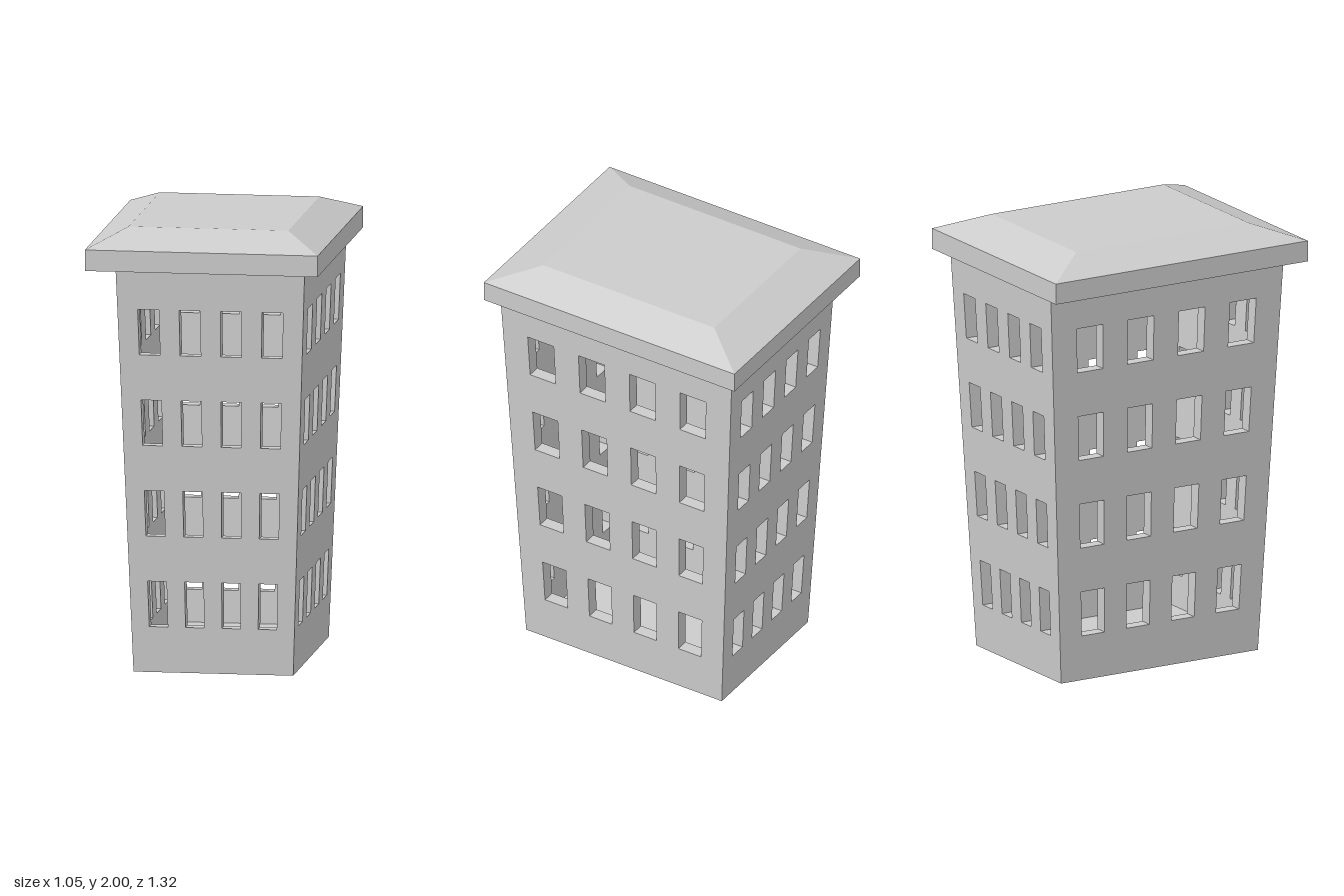
import * as THREE from 'three';

const material = new THREE.MeshStandardMaterial({ color: 0xcccccc, flatShading: true });
const CX = 0.033, CZ = 0.005;      // tower centre, slightly off the roof centre
const TOP = 1.83, EAVE = 1.91;     // rim underside, ceiling inside the roof
const T = 0.06;                    // wall thickness
const halfX = y => 0.36 + 0.066 * y / TOP;
const halfZ = y => 0.515 + 0.095 * y / TOP;

// Joins rectangular rings [halfX, halfZ, y] into a closed flat-faced solid
function loft(rings) {
  const corners = [[1, 1], [1, -1], [-1, -1], [-1, 1]];
  const pos = [];
  const point = ([hx, hz, y], k) => [corners[k % 4][0] * hx, y, corners[k % 4][1] * hz];
  for (let i = 0; i < rings.length - 1; i++) {
    for (let k = 0; k < 4; k++) {
      const a = point(rings[i], k), b = point(rings[i], k + 1);
      const c = point(rings[i + 1], k + 1), d = point(rings[i + 1], k);
      pos.push(...a, ...b, ...c, ...a, ...c, ...d);
    }
  }
  const geo = new THREE.BufferGeometry();
  geo.setAttribute('position', new THREE.Float32BufferAttribute(pos, 3));
  geo.computeVertexNormals();
  return geo;
}

// Flat wall with a 4 x 4 grid of windows; u runs -1..1 across the wall
function wallGeometry(half, depthHalf) {
  const rect = (path, u0, u1, y0, y1) => {
    path.moveTo(u0, y0);
    path.lineTo(u1, y0);
    path.lineTo(u1, y1);
    path.lineTo(u0, y1);
    path.closePath();
    return path;
  };
  const shape = rect(new THREE.Shape(), -1, 1, 0, EAVE);
  for (let row = 0; row < 4; row++) {
    const y = 0.207 + row * 0.413;
    for (const u of [-0.668, -0.223, 0.223, 0.668]) {
      shape.holes.push(rect(new THREE.Path(), u - 0.114, u + 0.114, y, y + 0.207));
    }
  }
  const geo = new THREE.ExtrudeGeometry(shape, { depth: T, bevelEnabled: false });
  // Lean the wall outward with height and mitre its ends
  const p = geo.attributes.position;
  for (let i = 0; i < p.count; i++) {
    const u = p.getX(i), y = p.getY(i), inset = T - p.getZ(i);
    const width = half(y) - (Math.abs(u) > 0.99 ? inset : 0);
    p.setXYZ(i, u * width, y, depthHalf(y) - inset);
  }
  geo.computeVertexNormals();
  return geo;
}

export function createModel() {
  const group = new THREE.Group();
  const add = (name, geo, parent) => {
    const mesh = new THREE.Mesh(geo, material);
    mesh.name = name;
    parent.add(mesh);
    return mesh;
  };

  // Hollow tower: four window walls and a floor
  const tower = new THREE.Group();
  tower.name = 'tower';
  tower.position.set(CX, 0, CZ);
  group.add(tower);
  ['frontWall', 'leftWall', 'backWall', 'rightWall'].forEach((name, i) => {
    const geo = i % 2 ? wallGeometry(halfZ, halfX) : wallGeometry(halfX, halfZ);
    add(name, geo, tower).rotation.y = i * Math.PI / 2;
  });
  const fx = halfX(0) - 0.002, fz = halfZ(0) - 0.002;
  add('floor', loft([[0, 0, 0], [fx, fz, 0], [fx, fz, T], [0, 0, T]]), tower);

  // Overhanging roof: recessed underside, upright rim, sloped edges, flat top
  add('roof', loft([
    [0, 0, EAVE], [0.495, 0.63, EAVE], [0.495, 0.63, TOP], [0.525, 0.66, TOP],
    [0.525, 0.66, 1.925], [0.36, 0.45, 2], [0, 0, 2],
  ]), group);

  return group;
}
